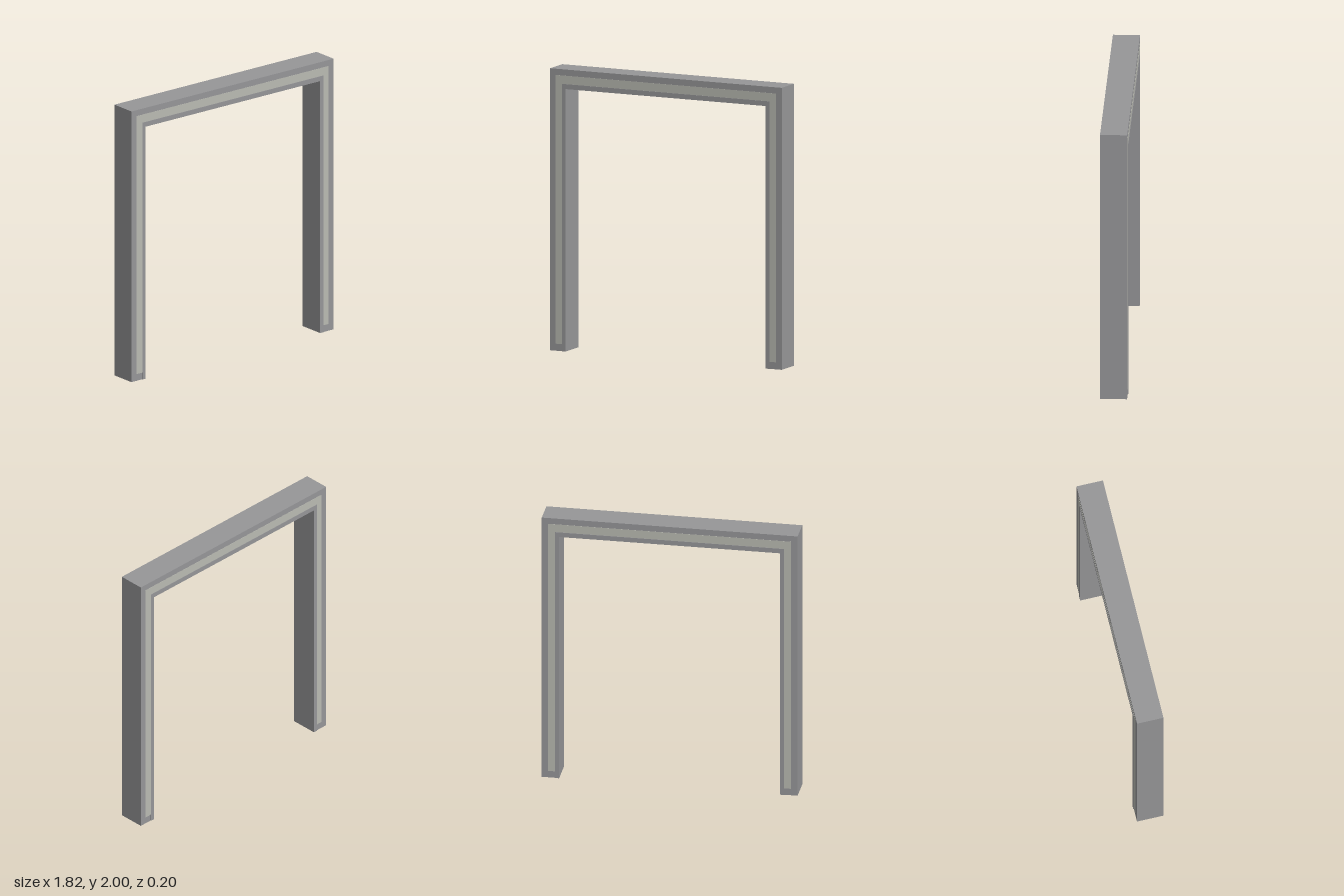
import * as THREE from 'three';

// Upside-down U outline: outer and inner half widths, outer and inner tops, foot height
function portal(outerX, innerX, outerY, innerY, footY, depth) {
  const s = new THREE.Shape();
  s.moveTo(-outerX, footY);
  s.lineTo(-innerX, footY);
  s.lineTo(-innerX, innerY);
  s.lineTo(innerX, innerY);
  s.lineTo(innerX, footY);
  s.lineTo(outerX, footY);
  s.lineTo(outerX, outerY);
  s.lineTo(-outerX, outerY);
  s.closePath();
  const geometry = new THREE.ExtrudeGeometry(s, { depth, bevelEnabled: false });
  return geometry.translate(0, 0, -depth / 2);
}

export function createModel() {
  const group = new THREE.Group();
  group.name = 'doorFrame';
  const frameGrey = new THREE.MeshStandardMaterial({ color: 0x969698 });
  frameGrey.name = 'frame grey';
  const stripGrey = new THREE.MeshStandardMaterial({ color: 0xb9bab2 });
  stripGrey.name = 'pale strip grey';

  const add = (name, geometry, material, z = 0) => {
    const mesh = new THREE.Mesh(geometry, material);
    mesh.name = name;
    mesh.position.z = z;
    group.add(mesh);
  };

  // Main frame, and the inner lining standing slightly proud on both faces
  add('frame', portal(0.908, 0.812, 2, 1.897, 0, 0.19), frameGrey);
  add('innerLining', portal(0.812, 0.784, 1.897, 1.862, 0, 0.198), frameGrey);

  // Thin pale strips on both faces
  for (const [name, side] of [['frontStrip', 1], ['backStrip', -1]]) {
    add(name, portal(0.863, 0.812, 1.956, 1.897, 0.05, 0.004), stripGrey, side * 0.0945);
  }
  return group;
}
